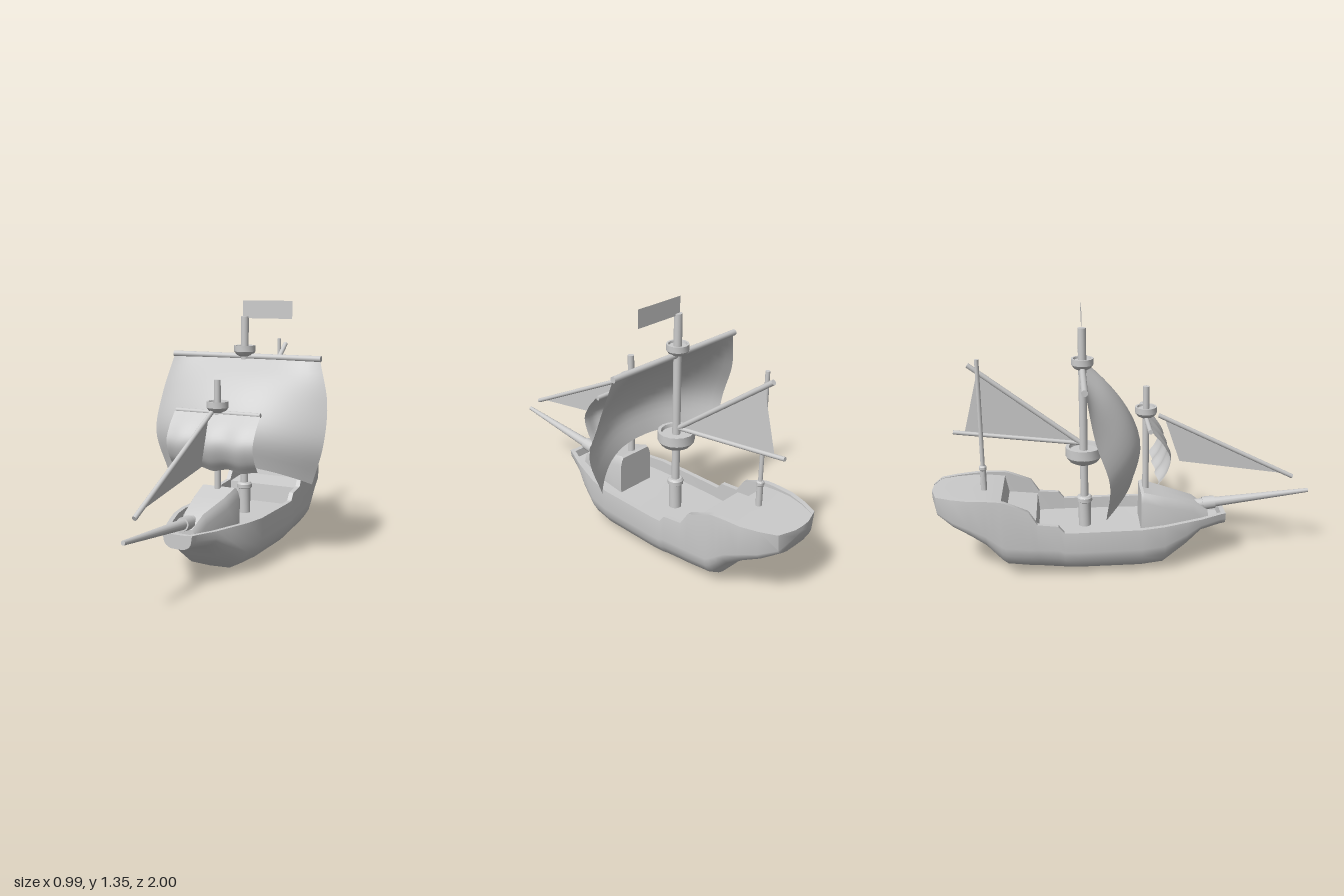
import * as THREE from 'three';
import { toCreasedNormals } from 'three/addons/utils/BufferGeometryUtils.js';

const wood = new THREE.MeshStandardMaterial({ color: 0xcccccc });
wood.name = 'plain grey';
const cloth = new THREE.MeshStandardMaterial({ color: 0xcccccc, side: THREE.DoubleSide });
cloth.name = 'plain grey cloth';

const V = (x, y, z) => new THREE.Vector3(x, y, z);

export function createModel() {
  const ship = new THREE.Group();
  ship.name = 'sailingShip';

  function add(name, geometry, material = wood) {
    const mesh = new THREE.Mesh(geometry, material);
    mesh.name = name;
    ship.add(mesh);
    return mesh;
  }

  // round spar between two points, r0 at the start and r1 at the end
  function spar(name, a, b, r0, r1 = r0) {
    const dir = b.clone().sub(a);
    const mesh = add(name, new THREE.CylinderGeometry(r1, r0, dir.length(), 14));
    mesh.position.copy(a).addScaledVector(dir, 0.5);
    mesh.quaternion.setFromUnitVectors(V(0, 1, 0), dir.normalize());
    return mesh;
  }

  // upright turned part from [radius, y] pairs
  function turned(name, profile, x, z) {
    const pts = profile.map(([r, y]) => new THREE.Vector2(r, y));
    const geo = toCreasedNormals(new THREE.LatheGeometry(pts, 16), 0.6);
    add(name, geo).position.set(x, 0, z);
  }

  // skin over closed rings ordered from bow to stern, each anticlockwise seen from the bow
  function loft(rings, crease) {
    const pos = [], idx = [], n = rings[0].length;
    rings.forEach(r => r.forEach(p => pos.push(p.x, p.y, p.z)));
    for (let i = 0; i < rings.length - 1; i++) {
      for (let j = 0; j < n; j++) {
        const k = (j + 1) % n, a = i * n, b = a + n;
        idx.push(a + j, b + j, a + k, a + k, b + j, b + k);
      }
    }
    [0, rings.length - 1].forEach((i, end) => {
      const c = pos.length / 3, mid = V(0, 0, 0);
      rings[i].forEach(p => mid.addScaledVector(p, 1 / n));
      pos.push(mid.x, mid.y, mid.z);
      for (let j = 0; j < n; j++) {
        const p = i * n + j, q = i * n + (j + 1) % n;
        idx.push(c, end ? q : p, end ? p : q);
      }
    });
    const geo = new THREE.BufferGeometry();
    geo.setAttribute('position', new THREE.Float32BufferAttribute(pos, 3));
    geo.setIndex(idx);
    return toCreasedNormals(geo, crease);
  }

  // full ring from its right half, which runs from keel to deck centre
  function mirrorRing(half, z) {
    const right = half.map(([x, y]) => V(x, y, z));
    const left = half.slice(1, -1).reverse().map(([x, y]) => V(-x, y, z));
    return right.concat(left);
  }

  // hull: z, keel height, rail height, belly half width, rail half width, deck height
  const stations = [
    [0.54, 0.20, 0.275, 0.075, 0.08, 0.272],
    [0.515, 0.198, 0.275, 0.085, 0.09, 0.272],
    [0.51, 0.198, 0.275, 0.087, 0.092, 0.23],
    [0.40, 0.185, 0.27, 0.14, 0.14, 0.22],
    [0.32, 0.11, 0.27, 0.178, 0.17, 0.21],
    [0.20, 0.015, 0.268, 0.22, 0.212, 0.21],
    [0.08, 0.005, 0.266, 0.24, 0.235, 0.2],
    [-0.25, 0.003, 0.262, 0.245, 0.238, 0.2],
    [-0.32, 0.008, 0.262, 0.245, 0.236, 0.2],
    [-0.35, 0.01, 0.30, 0.244, 0.235, 0.2],
    [-0.455, 0.02, 0.31, 0.242, 0.23, 0.2],
    [-0.465, 0.02, 0.325, 0.242, 0.23, 0.30],
    [-0.50, 0.022, 0.38, 0.24, 0.228, 0.305],
    [-0.62, 0.035, 0.43, 0.235, 0.22, 0.32],
    [-0.64, 0.05, 0.435, 0.232, 0.219, 0.415],
    [-0.68, 0.10, 0.438, 0.23, 0.217, 0.42],
    [-0.72, 0.15, 0.44, 0.226, 0.214, 0.425],
    [-0.80, 0.21, 0.44, 0.215, 0.208, 0.43],
    [-0.89, 0.26, 0.44, 0.185, 0.18, 0.435],
    [-0.97, 0.315, 0.44, 0.13, 0.142, 0.438],
    [-1.0, 0.40, 0.44, 0.045, 0.05, 0.438],
  ];
  add('hull', loft(stations.map(([z, ky, ry, b, r, d]) => {
    const h = Math.min(ry, 0.28 + ky * 0.3) - ky, t = Math.min(0.025, r * 0.4);
    return mirrorRing([
      [0, ky], [b * 0.5, ky + h * 0.02], [b * 0.82, ky + h * 0.2], [b * 0.96, ky + h * 0.4],
      [b, ky + h * 0.58], [r, ry], [r - t, ry], [r - t, d], [0, d],
    ], z);
  }), 0.75));

  // forecastle: z, top height, base half width, top half width
  const cabin = [
    [0.45, 0.275, 0.05, 0.03],
    [0.37, 0.335, 0.07, 0.05],
    [0.21, 0.38, 0.105, 0.08],
    [0.10, 0.412, 0.112, 0.092],
    [0.085, 0.405, 0.112, 0.092],
  ];
  add('forecastle', loft(cabin.map(([z, y, b, t]) => mirrorRing(
    [[0, 0.19], [b, 0.19], [b, y - 0.05], [t + 0.01, y - 0.015], [t, y], [0, y]], z)), 0.6));

  // bowsprit with its collar
  spar('bowsprit', V(0, 0.295, 0.36), V(0, 0.362, 1), 0.03, 0.011);
  spar('bowspritCollar', V(0, 0.302, 0.425), V(0, 0.309, 0.49), 0.036, 0.034);

  // masts
  spar('foreMast', V(0, 0.22, 0.115), V(0, 0.965, 0.115), 0.017);
  spar('mainMast', V(0, 0.2, -0.21), V(0, 1.272, -0.21), 0.021);
  spar('mizzenMast', V(-0.02, 0.4, -0.735), V(-0.02, 1.125, -0.735), 0.011);
  turned('mainMastFoot', [[0.033, 0.2], [0.033, 0.335], [0.041, 0.34], [0.041, 0.36], [0.033, 0.37], [0, 0.37]], 0, -0.21);
  turned('mizzenMastFoot', [[0.016, 0.41], [0.016, 0.535], [0.02, 0.54], [0.02, 0.555], [0.015, 0.562], [0, 0.562]], -0.02, -0.735);

  // lookout tops: radius, lower height, upper height
  [
    ['foreTop', 0.057, 0.8, 0.857, 0.115],
    ['mainTop', 0.057, 1.06, 1.118, -0.21],
    ['mainLowerTop', 0.095, 0.555, 0.647, -0.21],
  ].forEach(([name, r, y0, y1, z]) => {
    const h = y1 - y0;
    turned(name, [[0, y0], [r * 0.5, y0], [r * 0.78, y0 + h * 0.15], [r, y0 + h * 0.45], [r, y1],
      [r * 0.82, y1], [r * 0.78, y1 - h * 0.2], [0, y1 - h * 0.2]], 0, z);
  });

  // yards and booms
  spar('foreYard', V(-0.238, 0.798, 0.115), V(0.238, 0.798, 0.115), 0.012);
  spar('mainYard', V(-0.432, 1.06, -0.21), V(0.432, 1.06, -0.21), 0.016);
  spar('jibYard', V(0, 0.445, 0.908), V(0, 0.807, 0.182), 0.012);
  spar('mizzenYard', V(0, 0.67, -0.23), V(0, 1.092, -0.785), 0.013);
  spar('mizzenBoom', V(0, 0.665, -0.23), V(0, 0.74, -0.877), 0.011);

  // billowing sail: rule(s, t) with s from -1 to 1 across and t from 0 to 1 downwards
  function sail(name, rule) {
    const geo = new THREE.PlaneGeometry(2, 1, 24, 18);
    const p = geo.attributes.position;
    for (let i = 0; i < p.count; i++) p.setXYZ(i, ...rule(p.getX(i), 0.5 - p.getY(i)));
    geo.computeVertexNormals();
    add(name, geo, cloth);
  }
  const curve = pts => new THREE.CatmullRomCurve3(pts.map(q => V(...q)));

  // main sail: middle and edge lines blended across
  const mainEdge = curve([[0.43, 1.05, -0.205], [0.486, 0.84, -0.165], [0.492, 0.63, -0.1], [0.43, 0.42, -0.115]]);
  const mainMid = curve([[0, 1.05, -0.2], [0, 0.96, -0.08], [0, 0.82, 0.03], [0, 0.68, 0.082], [0, 0.52, 0.045]]);
  sail('mainSail', (s, t) => {
    const e = mainEdge.getPoint(t), m = mainMid.getPointAt(t), k = Math.abs(s) ** 2.4;
    return [e.x * s, m.y + (e.y - m.y) * k, m.z + (e.z - m.z) * k];
  });

  // fore sail: one bowed line with a soft ripple
  const foreLine = curve([[0, 0.795, 0.125], [0, 0.72, 0.19], [0, 0.65, 0.222], [0, 0.57, 0.2], [0, 0.512, 0.16]]);
  sail('foreSail', (s, t) => {
    const m = foreLine.getPoint(t), w = Math.cos(s * Math.PI * 3);
    return [0.242 * s, m.y - 0.006 * t * w, m.z + 0.006 * w * Math.min(1, t * 3)];
  });

  // flat fore-and-aft sails and pennant
  function flatCloth(name, pts) {
    const geo = new THREE.BufferGeometry().setFromPoints(pts.map(q => V(...q)));
    geo.setIndex(pts.length === 4 ? [0, 1, 2, 0, 2, 3] : [0, 1, 2]);
    geo.computeVertexNormals();
    add(name, geo, cloth);
  }
  flatCloth('jibSail', [[0, 0.462, 0.875], [0, 0.55, 0.295], [0, 0.785, 0.215]]);
  flatCloth('mizzenSail', [[0, 0.67, -0.24], [0, 0.738, -0.818], [0, 1.058, -0.738]]);
  flatCloth('pennant', [[-0.012, 1.262, -0.21], [0.27, 1.262, -0.21], [0.27, 1.355, -0.21], [-0.012, 1.355, -0.21]]);

  return ship;
}
